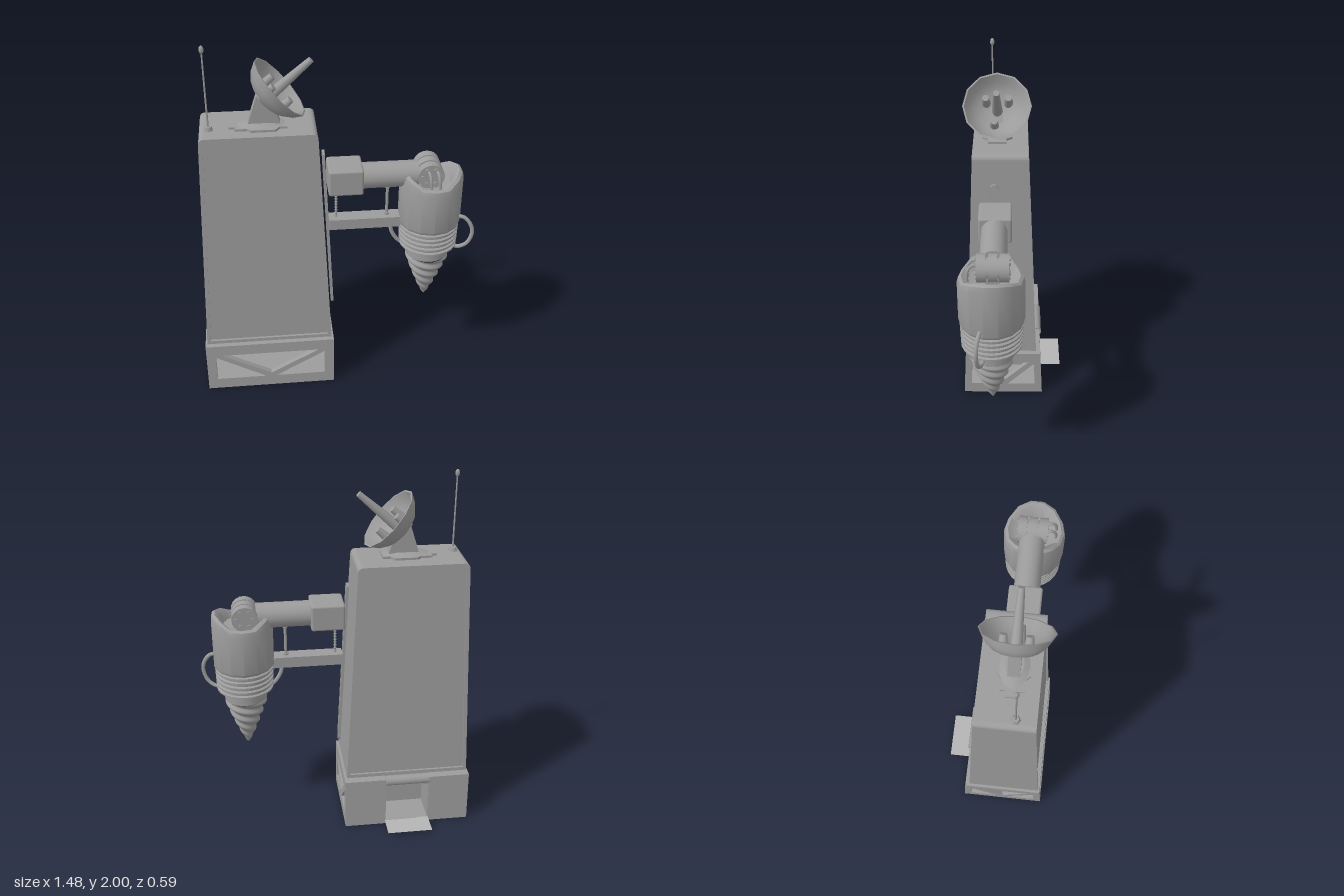
import * as THREE from 'three';
import { toCreasedNormals } from 'three/addons/utils/BufferGeometryUtils.js';
import { RoundedBoxGeometry } from 'three/addons/geometries/RoundedBoxGeometry.js';
import { ParametricGeometry } from 'three/addons/geometries/ParametricGeometry.js';

const metal = new THREE.MeshStandardMaterial({ color: 0x9c9c9c });
const metalOpen = new THREE.MeshStandardMaterial({ color: 0x9c9c9c, side: THREE.DoubleSide });
const rampMetal = new THREE.MeshStandardMaterial({ color: 0xb4b4b4 });
const V2 = (x, y) => new THREE.Vector2(x, y);
const V3 = (x, y, z) => new THREE.Vector3(x, y, z);

function add(parent, name, geo, x = 0, y = 0, z = 0, mat = metal) {
  const m = new THREE.Mesh(geo, mat);
  m.name = name;
  m.position.set(x, y, z);
  parent.add(m);
  return m;
}
function group(parent, name) {
  const g = new THREE.Group();
  g.name = name;
  parent.add(g);
  return g;
}
// Move every vertex by a rule, then refresh normals
function warp(geo, rule) {
  const p = geo.attributes.position, v = V3(0, 0, 0);
  for (let i = 0; i < p.count; i++) {
    rule(v.fromBufferAttribute(p, i));
    p.setXYZ(i, v.x, v.y, v.z);
  }
  geo.computeVertexNormals();
  return geo;
}
const box = (x0, x1, y0, y1, z0, z1) =>
  new THREE.BoxGeometry(x1 - x0, y1 - y0, z1 - z0).translate((x0 + x1) / 2, (y0 + y1) / 2, (z0 + z1) / 2);
const poly = (pts) => new THREE.Shape(pts.map((p) => V2(...p)));
const rect = (x0, x1, y0, y1) => poly([[x0, y0], [x1, y0], [x1, y1], [x0, y1]]);
const extrude = (shape, depth) => new THREE.ExtrudeGeometry(shape, { depth, bevelEnabled: false, curveSegments: 6 });
const lathe = (pts, seg) => toCreasedNormals(new THREE.LatheGeometry(pts.map((p) => V2(...p)), seg), 0.6);
const tube = (pts, r) => new THREE.TubeGeometry(new THREE.CatmullRomCurve3(pts.map((p) => V3(...p))), 24, r, 8);

// Rectangular frame with a V brace
function braced(x0, x1, m) {
  const s = rect(x0, x1, 0, 0.295), a = x0 + m, b = x1 - m, c = (a + b) / 2, lo = 0.065, hi = 0.23;
  s.holes.push(
    poly([[a, lo], [c - 0.03, lo], [a, hi - 0.012]]),
    poly([[b, lo], [b, hi - 0.012], [c + 0.03, lo]]),
    poly([[a + 0.035, hi], [c, lo + 0.02], [b - 0.035, hi]]));
  return s;
}

function buildBase(root) {
  const g = group(root, 'base');
  const taper = (v) => { v.z = 0.055 + (v.z - 0.055) * (1 - 0.22 * v.y); };
  const part = (name, geo) => add(g, name, warp(geo, taper));
  part('frontFrame', extrude(braced(-0.74, -0.025, 0.052), 0.03).translate(0, 0, 0.26));
  for (const x of [-0.025, -0.71])
    part('sideFrame', extrude(braced(-0.18, 0.29, 0.042), 0.03).rotateY(-Math.PI / 2).translate(x, 0, 0));
  const back = rect(-0.74, -0.025, 0, 0.295);
  back.holes.push(rect(-0.51, -0.255, 0.02, 0.25));
  part('backWall', extrude(back, 0.03).translate(0, 0, -0.18));
  part('floor', box(-0.74, -0.025, 0, 0.02, -0.18, 0.29));
  part('topPlate', box(-0.74, -0.025, 0.27, 0.295, -0.18, 0.29));
  // Entry recess, its roller shutter and the ramp
  for (const x of [-0.515, -0.26]) part('recessSide', box(x, x + 0.01, 0.02, 0.27, -0.175, 0.01));
  part('recessEnd', box(-0.51, -0.255, 0.02, 0.27, 0, 0.01));
  add(g, 'shutterRoller', new THREE.CylinderGeometry(0.03, 0.03, 0.25, 12).rotateZ(Math.PI / 2), -0.3825, 0.277, -0.145);
  add(g, 'ramp', new THREE.PlaneGeometry(0.255, 0.125).rotateX(-Math.PI / 2), -0.3825, 0.02, -0.2345, rampMetal);
  add(g, 'neck', box(-0.5, -0.26, 0.28, 0.32, -0.12, 0.24));
}

function buildTower(root) {
  const g = group(root, 'tower');
  // Tapered outline with rounded top corners, inset by d
  const outline = (d, r) => {
    const s = new THREE.Shape(), y0 = 0.31 + d, y1 = 1.56 - d;
    s.moveTo(-0.728 + d, y0);
    s.lineTo(-0.037 - d, y0);
    s.lineTo(-0.094 - d, y1 - r);
    s.quadraticCurveTo(-0.095 - d, y1, -0.095 - d - r, y1);
    s.lineTo(-0.677 + d + r, y1);
    s.quadraticCurveTo(-0.678 + d, y1, -0.679 + d, y1 - r);
    s.closePath();
    return s;
  };
  // Depth 0..1 becomes back..front, narrowing upward
  const fit = (geo) => warp(geo, (v) => {
    const t = (v.y - 0.31) / 1.25;
    v.z = THREE.MathUtils.lerp(-0.14 + 0.055 * t, 0.265 - 0.055 * t, v.z);
  });
  add(g, 'body', fit(extrude(outline(0, 0.03), 0.94).translate(0, 0, 0.03)));
  for (const z of [0, 0.97]) {
    const rim = outline(0, 0.03);
    rim.holes.push(outline(0.02, 0.025));
    add(g, 'panelRim', fit(extrude(rim, 0.03).translate(0, 0, z)));
  }
  // Slotted lift rail on the arm side
  const stadium = (w, h) => {
    const s = new THREE.Shape();
    s.absarc(0, h, w, 0, Math.PI, false);
    s.absarc(0, -h, w, Math.PI, Math.PI * 2, false);
    s.closePath();
    return s;
  };
  const rail = stadium(0.022, 0.468);
  rail.holes.push(stadium(0.011, 0.468));
  const m = add(g, 'liftRail', extrude(rail, 0.014).rotateY(Math.PI / 2), -0.048, 0.92, 0.095);
  m.rotation.z = 0.046;
}

function buildRoof(root) {
  const aerial = group(root, 'aerial');
  add(aerial, 'aerialFoot', new THREE.CylinderGeometry(0.018, 0.025, 0.02, 6), -0.63, 1.57, 0.11);
  add(aerial, 'aerialRod', new THREE.CylinderGeometry(0.004, 0.005, 0.4, 8), -0.63, 1.77, 0.11);
  add(aerial, 'aerialTip', new THREE.SphereGeometry(0.012, 10, 8).scale(1, 1.7, 1), -0.63, 1.98, 0.11);

  const g = group(root, 'dishAssembly');
  const half = [[-0.53, 0.035], [-0.5, 0.035], [-0.5, 0.06], [-0.44, 0.06], [-0.42, 0.08], [-0.3, 0.08], [-0.28, 0.05], [-0.24, 0.05]];
  const plate = poly([...half.map(([x, z]) => [x, -z]), ...half.slice().reverse()]);
  add(g, 'mountPlate', extrude(plate, 0.015).rotateX(-Math.PI / 2), 0, 1.557, 0.08);
  add(g, 'turntable', new THREE.CylinderGeometry(0.075, 0.125, 0.013, 12).scale(1, 1, 0.6), -0.37, 1.578, 0.08);
  const post = poly([[-0.435, 1.58], [-0.275, 1.58], [-0.3, 1.66], [-0.32, 1.69], [-0.385, 1.735]]);
  add(g, 'mountPost', extrude(post, 0.06), 0, 0, 0.05);

  const dish = group(g, 'dish');
  dish.position.set(-0.269, 1.763, 0.08);
  dish.rotation.z = -0.85;
  const bowl = [[0, -0.115], [0.06, -0.108], [0.115, -0.085], [0.156, -0.046], [0.182, 0],
    [0.173, 0], [0.147, -0.042], [0.108, -0.076], [0.057, -0.097], [0, -0.103]];
  add(dish, 'bowl', lathe(bowl, 12), 0, 0, 0, metalOpen);
  add(dish, 'mainFeed', new THREE.CylinderGeometry(0.016, 0.03, 0.305, 10), 0, 0.052, 0);
  for (const [x, z] of [[-0.045, -0.06], [-0.045, 0.06], [0.08, 0.015]])
    add(dish, 'sideFeed', new THREE.CylinderGeometry(0.018, 0.026, 0.09, 10), x, -0.05, z);
}

function buildArm(root) {
  const g = group(root, 'arm');
  add(g, 'armSleeve', new RoundedBoxGeometry(0.182, 0.145, 0.175, 2, 0.012), 0.049, 1.247, 0.088);
  add(g, 'armTube', new THREE.CylinderGeometry(0.069, 0.069, 0.33, 20).rotateZ(Math.PI / 2), 0.265, 1.247, 0.092);
  add(g, 'lowerBeam', box(-0.035, 0.36, 0.935, 0.995, 0.065, 0.125));
  add(g, 'beamCap', box(-0.035, 0.36, 0.99, 1.002, 0.055, 0.135));
  add(g, 'strut', new THREE.CylinderGeometry(0.008, 0.008, 0.19, 8), 0.275, 1.09, 0.095);
  for (const y of [1.005, 1.175]) add(g, 'strutCollar', new THREE.CylinderGeometry(0.014, 0.014, 0.015, 8), 0.275, y, 0.095);
  add(g, 'springRod', new THREE.CylinderGeometry(0.006, 0.006, 0.19, 8), 0.003, 1.09, 0.095);
  for (let i = 0; i < 10; i++)
    add(g, 'springCoil', new THREE.TorusGeometry(0.006, 0.003, 6, 10).rotateX(Math.PI / 2), 0.003, 1.01 + i * 0.017, 0.095);
  // Elbow joint above the drill
  add(g, 'elbowCore', new THREE.CylinderGeometry(0.055, 0.055, 0.15, 20).rotateX(Math.PI / 2), 0.49, 1.257, 0.09);
  for (const z of [0.035, 0.09, 0.147])
    add(g, 'elbowDisc', new THREE.CylinderGeometry(0.07, 0.07, 0.046, 20).rotateX(Math.PI / 2), 0.49, 1.26, z);
  for (const z of [0.01, 0.172])
    for (let i = 0; i < 6; i++) {
      const a = i * Math.PI / 3;
      add(g, 'elbowBolt', new THREE.CylinderGeometry(0.012, 0.012, 0.01, 8).rotateX(Math.PI / 2),
        0.49 + 0.045 * Math.cos(a), 1.26 + 0.045 * Math.sin(a), z);
    }
  add(g, 'elbowYoke', box(0.44, 0.54, 1.13, 1.25, 0.06, 0.125));
}

function buildDrill(root) {
  const g = group(root, 'drill');
  g.position.set(0.505, 0, 0.1);
  // Motor housing with a crowned rim and a shallow dished top
  const housing = new THREE.LatheGeometry([[0.13, 0.955], [0.16, 0.955], [0.167, 0.97], [0.167, 1.215], [0.16, 1.24],
    [0.145, 1.25], [0.125, 1.235], [0.1, 1.2], [0, 1.19]].map((p) => V2(...p)), 14);
  warp(housing, (v) => {
    if (v.y > 1.21) v.y += 0.024 * THREE.MathUtils.clamp(1.6 * Math.cos(2 * Math.atan2(v.z, v.x)), -1, 1);
  });
  add(g, 'motorHousing', toCreasedNormals(housing, 0.6), 0, 0, 0, metalOpen);
  // Corrugated bellows and chuck
  const ribs = [[0, 0.745], [0.108, 0.745], [0.118, 0.755], [0.118, 0.8], [0.13, 0.812]];
  for (let i = 0; i < 5; i++) {
    const y = 0.815 + i * 0.029, r = 0.146 + i * 0.001;
    ribs.push([r, y], [r + 0.011, y + 0.005], [r + 0.011, y + 0.014], [r, y + 0.019]);
  }
  ribs.push([0.146, 0.965]);
  add(g, 'bellows', lathe(ribs, 24));
  // Two-start screw bit
  const bit = new ParametricGeometry((u, v, out) => {
    const a = -u * Math.PI * 2;
    const ridge = 0.5 + 0.5 * Math.cos(2 * Math.PI * (v * 4.8 + 2 * u));
    const r = 0.122 * Math.pow(1 - v, 0.78) * (0.86 + 0.17 * ridge);
    out.set(r * Math.sin(a), 0.755 - 0.305 * v, r * Math.cos(a));
  }, 48, 96);
  add(g, 'screwBit', bit);
  // Hoses
  add(g, 'outerHose', tube([[0.14, 1.0, 0.05], [0.18, 0.995, 0.06], [0.215, 0.955, 0.07], [0.228, 0.9, 0.072],
    [0.205, 0.83, 0.065], [0.16, 0.8, 0.05], [0.12, 0.81, 0.04]], 0.011));
  add(g, 'innerHose', tube([[-0.19, 0.96, 0], [-0.205, 0.92, 0], [-0.19, 0.87, 0], [-0.155, 0.825, 0], [-0.11, 0.805, 0]], 0.011));
  for (const x of [-0.03, 0.015])
    add(g, 'elbowCable', tube([[x, 1.28, 0.05], [x, 1.295, 0.085], [x + 0.005, 1.27, 0.11], [x + 0.01, 1.2, 0.115], [x + 0.01, 1.15, 0.1]], 0.008));
}

export function createModel() {
  const root = new THREE.Group();
  root.name = 'drillTower';
  buildBase(root);
  buildTower(root);
  buildRoof(root);
  buildArm(root);
  buildDrill(root);
  return root;
}
